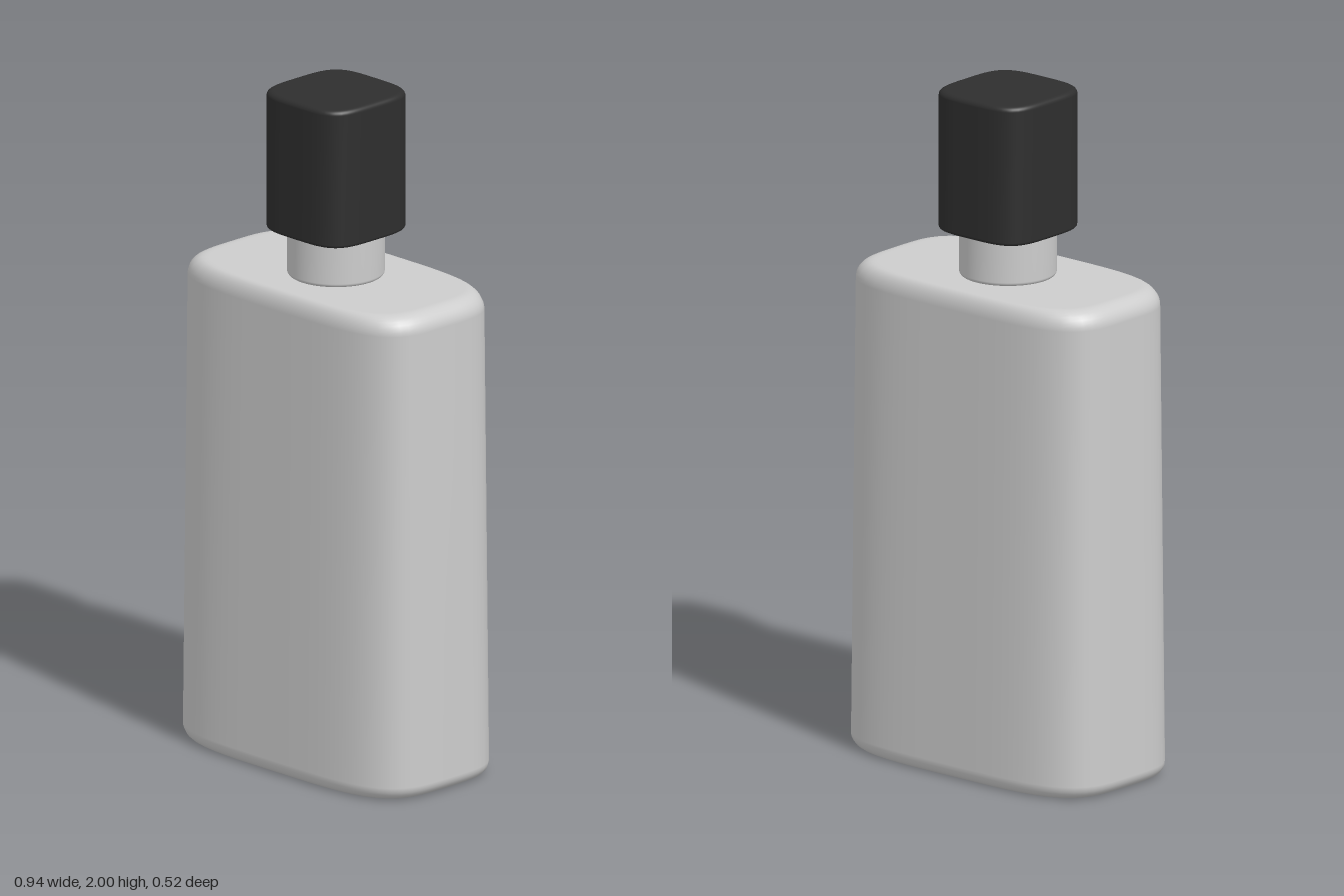
import * as THREE from 'three';

const SEGMENTS = 72;

// Squircle loft: each profile point is [halfX, halfZ, y], listed from bottom to top.
function loft(profile, power) {
  const positions = [];
  const indices = [];
  for (const [hx, hz, y] of profile) {
    for (let i = 0; i < SEGMENTS; i++) {
      const a = (i / SEGMENTS) * Math.PI * 2;
      const c = Math.cos(a);
      const s = Math.sin(a);
      const r = Math.pow(Math.abs(c) ** power + Math.abs(s) ** power, -1 / power);
      positions.push(hx * c * r, y, hz * s * r);
    }
  }
  for (let j = 0; j < profile.length - 1; j++) {
    for (let i = 0; i < SEGMENTS; i++) {
      const k = (i + 1) % SEGMENTS;
      const a = j * SEGMENTS + i, b = a + SEGMENTS;
      const c = j * SEGMENTS + k, d = c + SEGMENTS;
      indices.push(a, b, c, c, b, d);
    }
  }
  const geometry = new THREE.BufferGeometry();
  geometry.setAttribute('position', new THREE.Float32BufferAttribute(positions, 3));
  geometry.setIndex(indices);
  geometry.computeVertexNormals();
  return geometry;
}

// Closed profile with rounded rims; the rounding shrinks both half-widths in proportion.
function roundedProfile({ y0, y1, bottom, top, r0, r1 }) {
  const steps = 8;
  const points = [[0, 0, y0]];
  const add = ([hx, hz], inset, y) => {
    const k = 1 - inset / hx;
    points.push([hx * k, hz * k, y]);
  };
  add(bottom, r0 * 1.15, y0);
  for (let i = 0; i <= steps; i++) {
    const a = (i / steps) * Math.PI / 2;
    add(bottom, r0 * (1 - Math.sin(a)), y0 + r0 * (1 - Math.cos(a)));
  }
  for (let i = 0; i <= steps; i++) {
    const a = (i / steps) * Math.PI / 2;
    add(top, r1 * (1 - Math.cos(a)), y1 - r1 * (1 - Math.sin(a)));
  }
  add(top, r1 * 1.15, y1);
  points.push([0, 0, y1]);
  return points;
}

export function createModel() {
  const model = new THREE.Group();
  model.name = 'bottle';

  const glass = new THREE.MeshStandardMaterial({ color: 0xcccccc });
  glass.name = 'pale grey';
  const black = new THREE.MeshStandardMaterial({ color: 0x2e2e2e });
  black.name = 'soft black';

  const addPart = (name, material, power, shape) => {
    const mesh = new THREE.Mesh(loft(roundedProfile(shape), power), material);
    mesh.name = name;
    model.add(mesh);
  };

  // Tapered body
  addPart('body', glass, 4, {
    y0: 0, y1: 1.45, bottom: [0.47, 0.258], top: [0.456, 0.25], r0: 0.04, r1: 0.055,
  });
  // Round neck
  addPart('neck', glass, 2, {
    y0: 1.448, y1: 1.592, bottom: [0.14, 0.14], top: [0.14, 0.14], r0: 0.012, r1: 0.006,
  });
  // Squared cap
  addPart('cap', black, 4, {
    y0: 1.585, y1: 2, bottom: [0.167, 0.167], top: [0.167, 0.167], r0: 0.01, r1: 0.015,
  });

  return model;
}
